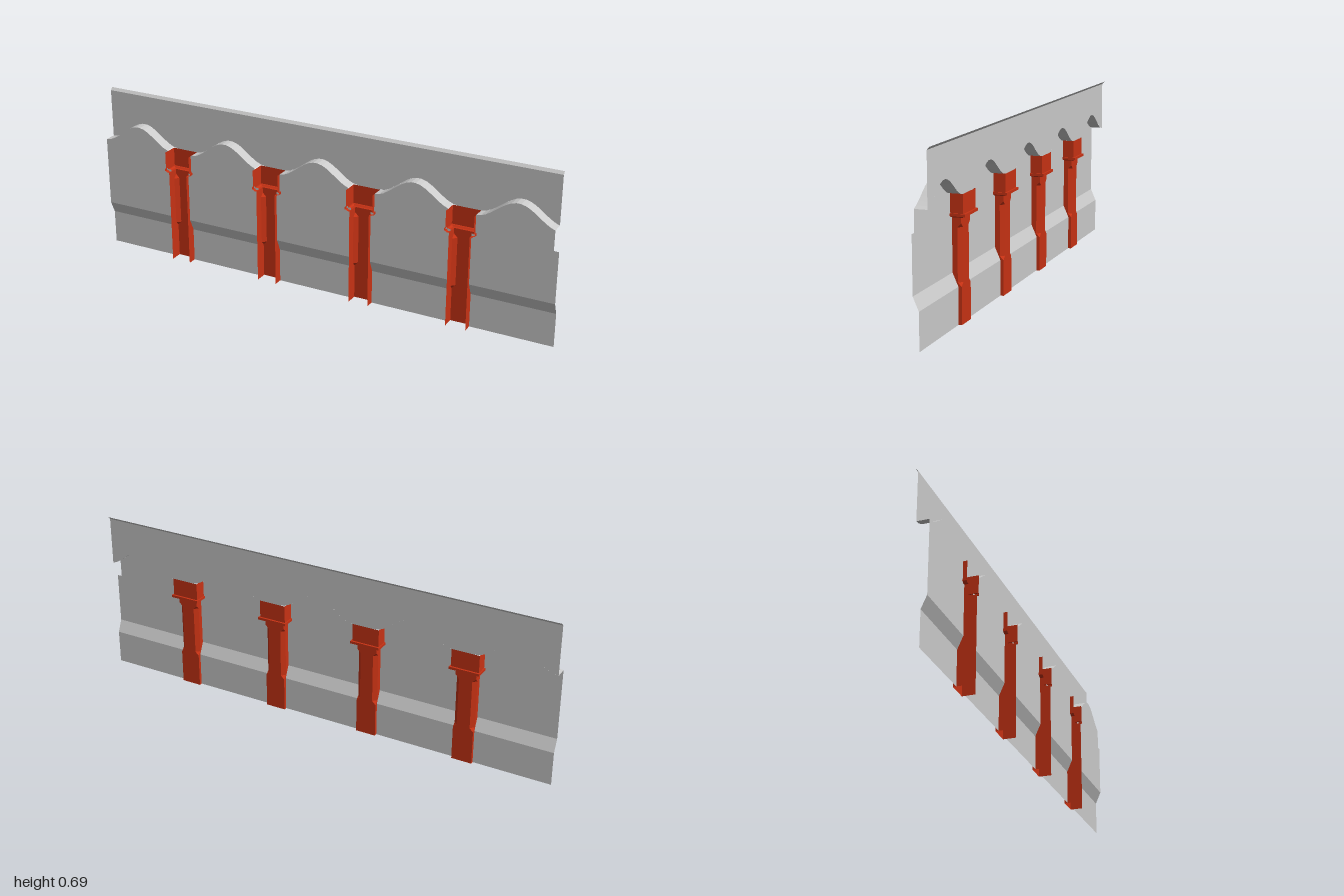
import * as THREE from 'three';

const grey = new THREE.MeshStandardMaterial({ color: 0xcccccc, side: THREE.DoubleSide, flatShading: true });
const red = new THREE.MeshStandardMaterial({ color: 0xc83214, side: THREE.DoubleSide, flatShading: true });

const PITCH = 0.418;
const PILLARS = [-0.637, -0.219, 0.199, 0.617];
const SHAFT = 0.042, BLOCK = 0.057;      // half widths
const FRONT = 0.022, SKIRT = 0, BACK = -0.027; // sheet depths

// Open sheet through rows of [x, y, z] points, all rows equally long
function loft(name, rows, material) {
  const pos = [];
  for (let r = 0; r < rows.length - 1; r++) {
    for (let i = 0; i < rows[r].length - 1; i++) {
      const a = rows[r][i], b = rows[r][i + 1], c = rows[r + 1][i + 1], d = rows[r + 1][i];
      pos.push(...a, ...b, ...c, ...a, ...c, ...d);
    }
  }
  const geo = new THREE.BufferGeometry();
  geo.setAttribute('position', new THREE.Float32BufferAttribute(pos, 3));
  geo.computeVertexNormals();
  const mesh = new THREE.Mesh(geo, material);
  mesh.name = name;
  return mesh;
}

// Scalloped line: rounded humps with short flats where the pillars stand
function waveY(x) {
  const d = Math.abs(x - PITCH * Math.round(x / PITCH));
  return d > 0.165 ? 0.48 : 0.52 + 0.04 * Math.cos(Math.PI * d / 0.165);
}

function waveLine(x0, x1, n) {
  return Array.from({ length: n + 1 }, (_, i) => {
    const x = x0 + (x1 - x0) * i / n;
    return [x, waveY(x)];
  });
}

const atZ = (line, z) => line.map(([x, y]) => [x, y, z]);

// One wall bay: recessed skirt, slope, scalloped panel and ledge
function createBay(x0, x1, top0, top1) {
  const bay = new THREE.Group();
  bay.name = 'wallBay';
  bay.add(loft('skirt', [[0, SKIRT], [0.14, SKIRT], [0.19, FRONT]]
    .map(([y, z]) => [[x0, y, z], [x1, y, z]]), grey));

  const line = waveLine(top0, top1, 16);
  const outline = [[x0, 0.19], [x1, 0.19], [x1, 0.402], [top1, 0.402], ...line.slice().reverse(), [top0, 0.402]];
  if (x0 !== top0) outline.push([x0, 0.402]);
  const shape = new THREE.Shape(outline.map(([x, y]) => new THREE.Vector2(x, y)));
  const panel = new THREE.Mesh(new THREE.ShapeGeometry(shape), grey);
  panel.position.z = FRONT;
  panel.name = 'panel';
  bay.add(panel);

  bay.add(loft('ledge', [atZ(line, FRONT), atZ(line, BACK)], grey));
  return bay;
}

// Pillar: a channel open to the front, lofted through [y, half width, back z, chamfer]
function createPillar(x) {
  const levels = [
    [0, SHAFT, -0.013, 0], [0.14, SHAFT, -0.013, 0],
    [0.155, SHAFT, -0.013, 0.015], [0.355, SHAFT, -0.013, 0.015],
    [0.37, SHAFT, -0.013, 0], [0.393, SHAFT, -0.013, 0],
    [0.393, 0.052, -0.023, 0], [0.398, BLOCK, -0.028, 0],
    [0.398, 0.062, -0.035, 0], [0.408, 0.062, -0.035, 0],
    [0.408, BLOCK, BACK, 0], [0.48, BLOCK, BACK, 0],
  ];
  const rows = levels.map(([y, w, z, c]) => [
    [w, y, 0.038], [w, y, z + c], [w - c, y, z],
    [c - w, y, z], [-w, y, z + c], [-w, y, 0.038],
  ]);
  const pillar = loft('pillar', rows, red);
  pillar.position.x = x;
  return pillar;
}

export function createModel() {
  const model = new THREE.Group();
  model.name = 'scallopedWall';

  // Bays between the pillars; the right end steps in above the shoulder
  for (let i = 0; i <= PILLARS.length; i++) {
    const first = i === 0, last = i === PILLARS.length;
    model.add(createBay(
      first ? -1 : PILLARS[i - 1] + SHAFT, last ? 1 : PILLARS[i] - SHAFT,
      first ? -1 : PILLARS[i - 1] + BLOCK, last ? 0.98 : PILLARS[i] - BLOCK));
  }

  PILLARS.forEach((x) => model.add(createPillar(x)));

  // Upper sheet behind the ledge, with a lip leaning back along its top
  const base = waveLine(-1, 0.98, 90);
  const level = (y, z) => base.map(([x]) => [x, y, z]);
  model.add(loft('upperSheet', [atZ(base, BACK), level(0.682, BACK)], grey));
  model.add(loft('topLip', [level(0.682, BACK), level(0.693, -0.037)], grey));

  return model;
}
